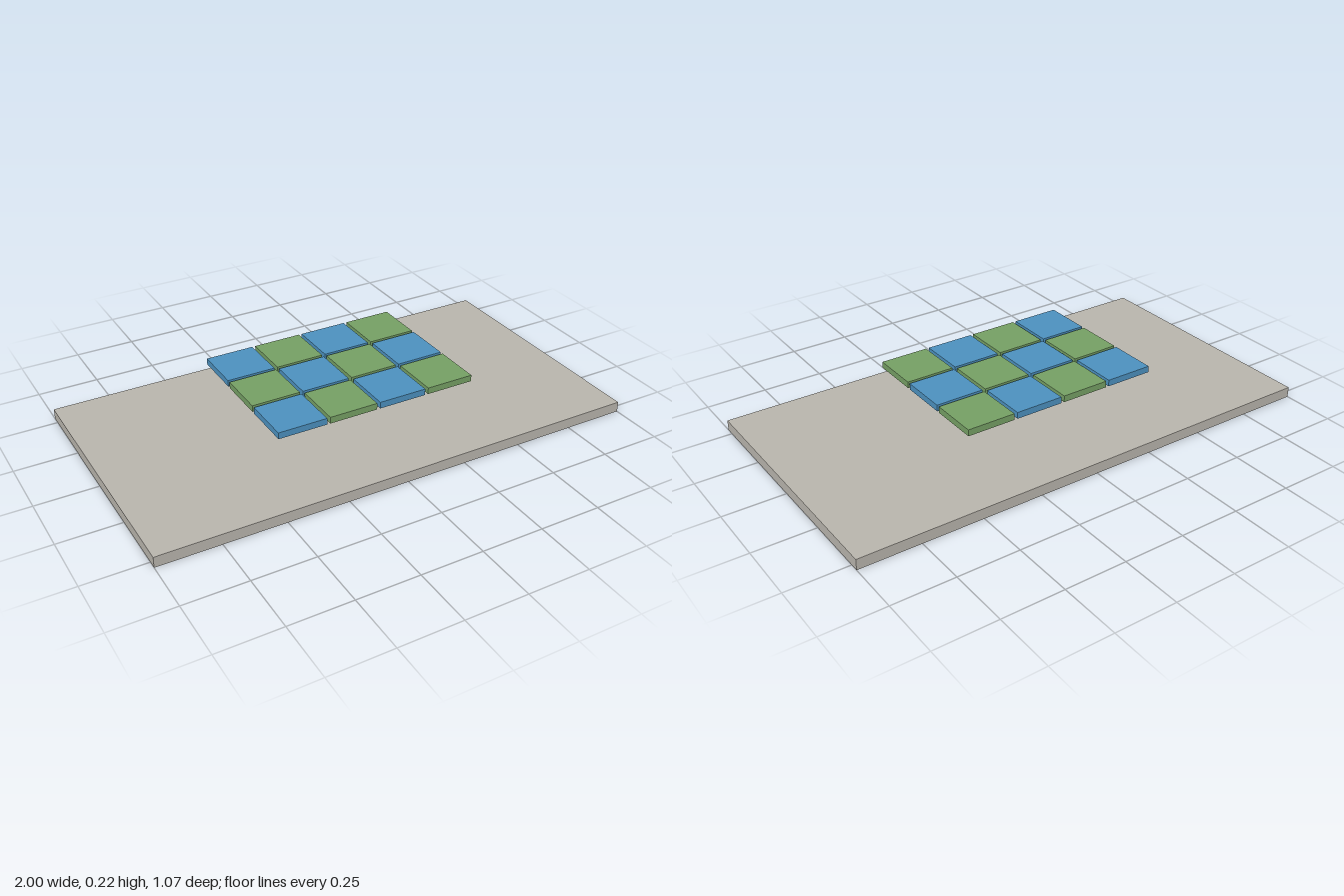
import * as THREE from 'three';

const flat = (name, color) => {
  const material = new THREE.MeshStandardMaterial({ color });
  material.name = name;
  return material;
};

export function createModel() {
  const stone = flat('warm grey', 0xb8b4ac);
  const blue = flat('blue', 0x4c90be);
  const green = flat('green', 0x759f64);

  const model = new THREE.Group();
  model.name = 'tiledSlab';

  // Ground slab
  const height = 0.0435;
  const slab = new THREE.Mesh(new THREE.BoxGeometry(2, height, 1.067), stone);
  slab.name = 'baseSlab';
  slab.position.y = height / 2;
  model.add(slab);

  // Floating checkerboard of tiles, four across and three deep
  const columns = 4, rows = 3, pitch = 0.2135;
  const tileGeometry = new THREE.BoxGeometry(0.2, 0.0265, 0.2);
  const tiles = new THREE.Group();
  tiles.name = 'floatingTiles';
  tiles.position.y = 0.21;
  for (let row = 0; row < rows; row++) {
    for (let column = 0; column < columns; column++) {
      const tile = new THREE.Mesh(tileGeometry, (row + column) % 2 ? green : blue);
      tile.name = `tileRow${row + 1}Column${column + 1}`;
      tile.position.set((column - (columns - 1) / 2) * pitch, 0, (row - (rows - 1) / 2) * pitch);
      tiles.add(tile);
    }
  }
  model.add(tiles);

  return model;
}
